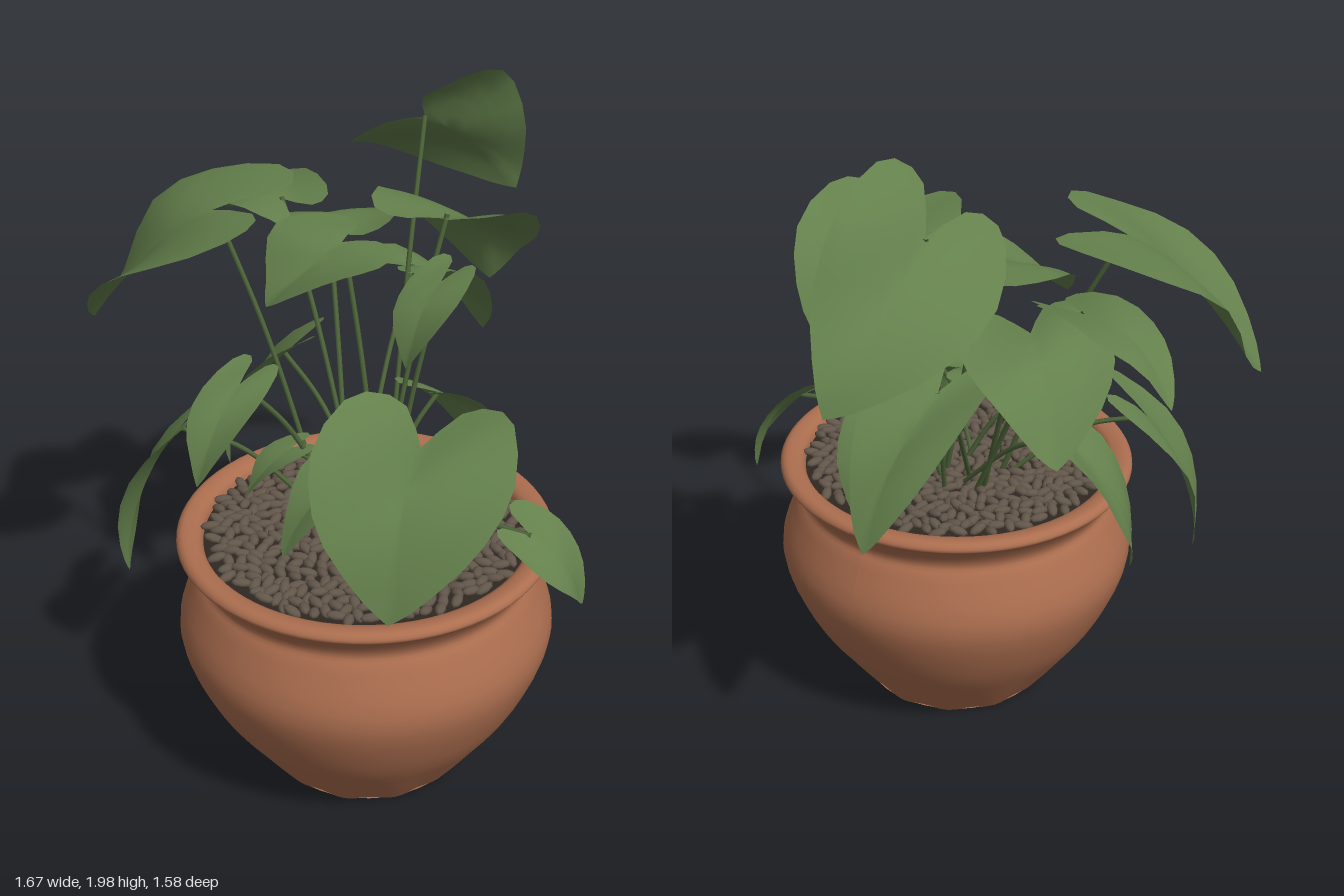
import * as THREE from 'three';
import { mergeGeometries } from 'three/addons/utils/BufferGeometryUtils.js';

const POT = { x: 0.11, z: 0.22 }; // pot centre

const mat = (name, color, side = THREE.FrontSide) => {
  const m = new THREE.MeshStandardMaterial({ color, side });
  m.name = name;
  return m;
};
const spline = (points, n) => new THREE.SplineCurve(points.map(([x, y]) => new THREE.Vector2(x, y))).getPoints(n);

// Heart outline: right half from notch to tip, then mirrored back
const HALF = spline([[0, 0], [0.34, -0.27], [0.8, -0.24], [1, 0.15], [0.78, 0.55], [0.29, 0.88], [0, 1]], 14);
const OUTLINE = [...HALF, ...HALF.slice(1, -1).reverse().map((p) => new THREE.Vector2(-p.x, p.y))];
const MIDDLE = 0.28; // where along the blade the rings converge

// Arched, slightly wavy blade made of rings shrinking towards its middle
function leafGeometry(base, tip, half, roll, phase) {
  const axis = tip.clone().sub(base);
  const length = axis.length();
  axis.normalize();
  const side = new THREE.Vector3(axis.z, 0, -axis.x).normalize().applyAxisAngle(axis, roll);
  const up = axis.clone().cross(side);
  const rings = 5, count = OUTLINE.length, points = [], index = [];
  const addPoint = (u, a) => {
    const fold = half * (0.14 * Math.abs(u) + 0.07 * Math.sin(5 * a + 3 * u + phase));
    const arch = length * 0.45 * a * (1 - a);
    points.push(base.clone().addScaledVector(side, u * half).addScaledVector(axis, a * length)
      .addScaledVector(up, fold + arch));
  };
  addPoint(0, MIDDLE);
  for (let r = 1; r <= rings; r++)
    for (const o of OUTLINE) addPoint(o.x * r / rings, MIDDLE + (o.y - MIDDLE) * r / rings);
  for (let i = 0; i < count; i++) {
    const j = (i + 1) % count;
    index.push(0, 1 + i, 1 + j);
    for (let r = 0; r < rings - 1; r++) {
      const a = 1 + r * count + i, b = 1 + r * count + j;
      index.push(a, a + count, b + count, a, b + count, b);
    }
  }
  const g = new THREE.BufferGeometry().setFromPoints(points);
  g.setIndex(index);
  g.computeVertexNormals();
  return g;
}

// Flower pot: rounded fluted body, narrow neck, flared rim
function potGeometry() {
  const profile = spline([
    [0.3, 0], [0.39, 0.125], [0.495, 0.29], [0.56, 0.48], [0.515, 0.635], [0.49, 0.69],
    [0.525, 0.752], [0.555, 0.78], [0.535, 0.803], [0.485, 0.79], [0.472, 0.74],
  ], 40);
  const g = new THREE.LatheGeometry(profile, 72, Math.PI);
  const p = g.attributes.position;
  for (let i = 0; i < p.count; i++) {
    const angle = Math.atan2(p.getX(i), p.getZ(i));
    const flute = Math.max(0, 1 - p.getY(i) / 0.2) * (1 - Math.cos(12 * angle)) / 2;
    p.setX(i, p.getX(i) * (1 - 0.035 * flute));
    p.setZ(i, p.getZ(i) * (1 - 0.035 * flute));
  }
  g.computeVertexNormals();
  return g;
}

// Long pebbles laid in a sunflower spiral with a seeded tilt
function pebbleGeometry(count) {
  let seed = 7;
  const random = () => (seed = (seed * 16807) % 2147483647) / 2147483647;
  const pebbles = [];
  for (let i = 0; i < count; i++) {
    const r = 0.462 * Math.sqrt((i + 0.5) / count), a = i * 2.4;
    const g = new THREE.SphereGeometry(1, 8, 6);
    g.scale(0.031, 0.013, 0.016);
    g.rotateZ((random() - 0.5) * 0.6);
    g.rotateY(random() * Math.PI);
    g.translate(r * Math.cos(a), 0.78 + random() * 0.012, r * Math.sin(a));
    pebbles.push(g);
  }
  return mergeGeometries(pebbles);
}

export function createModel() {
  const model = new THREE.Group();
  model.name = 'pottedPlant';
  const clay = mat('terracotta', 0xac6e4f, THREE.DoubleSide);
  const green = mat('leafGreen', 0x64804c, THREE.DoubleSide);
  const stalkGreen = mat('stalkGreen', 0x4d6439);
  const soilBrown = mat('soilBrown', 0x2e2721);
  const stone = mat('pebbleBrown', 0x62564a);
  const add = (name, geometry, material, x = 0, y = 0, z = 0) => {
    const m = new THREE.Mesh(geometry, material);
    m.name = name;
    m.position.set(x, y, z);
    model.add(m);
    return m;
  };

  // Pot and its filling
  add('pot', potGeometry(), clay, POT.x, 0, POT.z);
  add('potBottom', new THREE.CircleGeometry(0.298, 48), clay, POT.x, 0.004, POT.z).rotation.x = Math.PI / 2;
  add('soil', new THREE.CircleGeometry(0.478, 48), soilBrown, POT.x, 0.768, POT.z).rotation.x = -Math.PI / 2;
  add('pebbles', pebbleGeometry(480), stone, POT.x, 0, POT.z);

  // Each leaf sits on an arching stalk: blade base, tip, half width, roll
  let n = 0;
  const leaf = (base, tip, half, roll = 0) => {
    const b = new THREE.Vector3(...base), a = n * 2.4;
    add('leaf', leafGeometry(b, new THREE.Vector3(...tip), half, roll, n * 1.7), green);
    const root = new THREE.Vector3(0.06 + 0.07 * Math.cos(a), 0.77, 0.17 + 0.06 * Math.sin(a));
    root.x += (b.x - root.x) * 0.15;
    root.z += (b.z - root.z) * 0.15;
    const bend = root.clone().lerp(b, 0.55);
    bend.y += 0.06;
    add('stalk', new THREE.TubeGeometry(new THREE.CatmullRomCurve3([root, bend, b]), 14, 0.008, 6), stalkGreen);
    n++;
  };

  // Large upper leaves
  leaf([0.55, 1.35, 0.47], [0.68, 1.0, 0.74], 0.27);
  leaf([-0.42, 1.64, 0.27], [-0.79, 1.25, 0.45], 0.3, -0.12);
  leaf([-0.2, 1.82, -0.37], [-0.17, 1.46, -0.78], 0.24, -0.8);
  leaf([0.13, 1.69, -0.1], [0.02, 1.35, -0.43], 0.23);
  leaf([-0.38, 1.5, -0.14], [-0.62, 1.27, -0.37], 0.21);
  leaf([-0.12, 1.57, 0.06], [-0.2, 1.42, 0.29], 0.22);
  // Medium leaves at the back, left and upper right
  leaf([-0.2, 1.35, -0.32], [-0.2, 1.0, -0.66], 0.16);
  leaf([-0.5, 1.57, -0.06], [-0.83, 1.42, -0.15], 0.14, -0.2);
  leaf([0.22, 1.55, 0.02], [0.21, 1.33, 0.16], 0.1);
  // Drooping leaves on the left and over the right of the rim
  leaf([-0.44, 1.0, 0.44], [-0.55, 0.5, 0.58], 0.13, 0.35);
  leaf([-0.43, 1.1, 0.02], [-0.58, 0.68, 0.13], 0.12, 0.2);
  leaf([0.61, 0.91, 0.07], [0.72, 0.67, -0.05], 0.1, 0.6);
  // Small low leaves
  leaf([-0.15, 1.26, 0.45], [-0.13, 1.02, 0.65], 0.1);
  leaf([0.14, 1.06, 0.28], [0.1, 0.83, 0.54], 0.12, 0.1);
  leaf([0.3, 0.97, 0.4], [0.34, 0.82, 0.5], 0.09);
  leaf([0.12, 1.12, -0.08], [0.14, 0.81, -0.28], 0.12, -0.2);
  leaf([-0.11, 1.0, 0.3], [-0.18, 0.86, 0.42], 0.07);
  return model;
}
